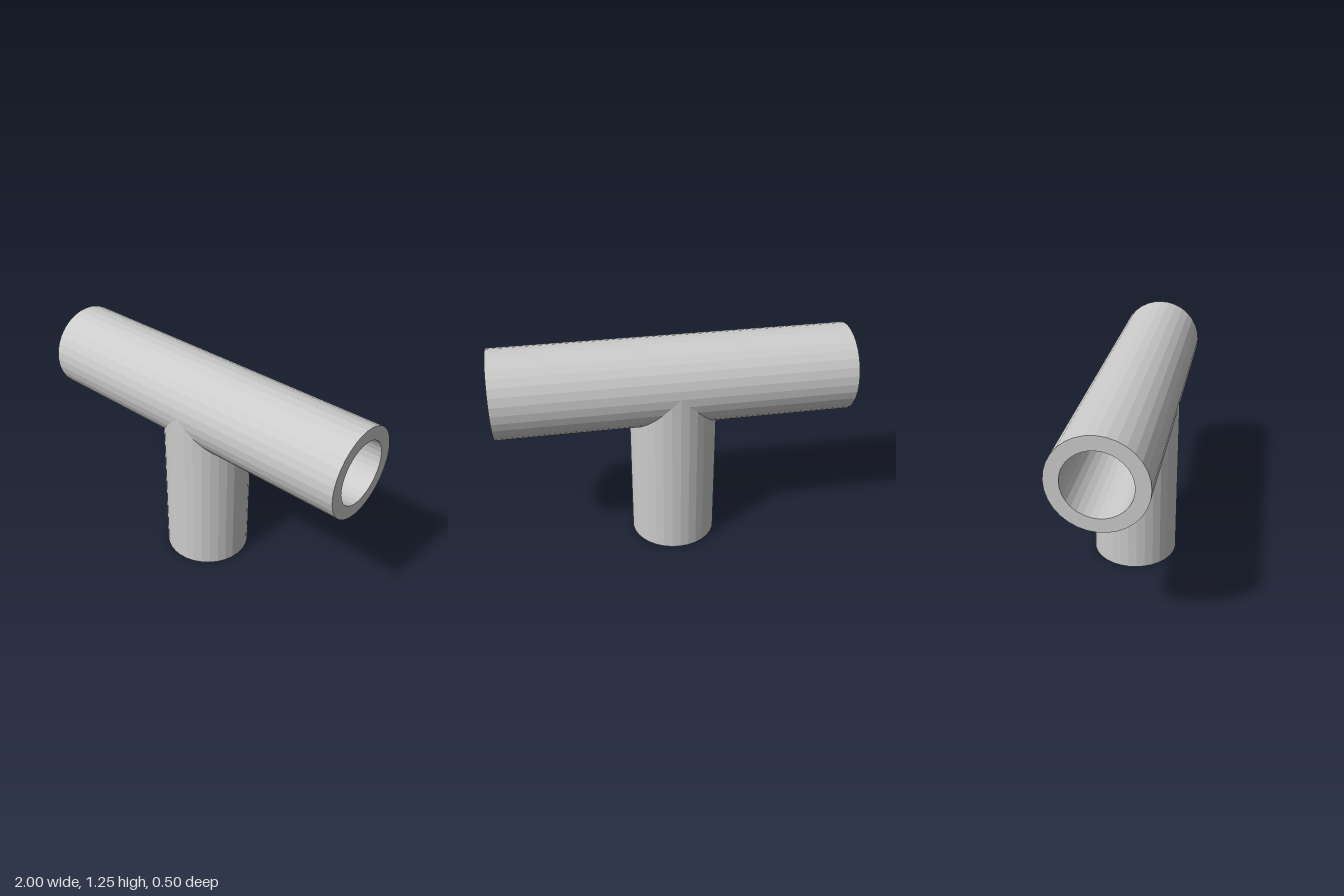
import * as THREE from 'three';

const OUTER = 0.25, BORE = 0.175, SIDES = 32;

// Hollow pipe along y, with flat ring ends
function makePipe(name, from, to, material) {
  const profile = [[BORE, from], [OUTER, from], [OUTER, to], [BORE, to], [BORE, from]]
    .map(([r, y]) => new THREE.Vector2(r, y));
  const mesh = new THREE.Mesh(new THREE.LatheGeometry(profile, SIDES), material);
  mesh.name = name;
  return mesh;
}

export function createModel() {
  const group = new THREE.Group();
  group.name = 'pipeTee';
  const material = new THREE.MeshStandardMaterial({ color: 0xcccccc, flatShading: true });

  // Horizontal run, open at both ends
  const run = makePipe('runPipe', -1, 1, material);
  run.rotation.z = Math.PI / 2;
  run.position.y = 1;

  // Vertical branch, reaching up to the axis of the run
  const branch = makePipe('branchPipe', 0, 1, material);

  group.add(run, branch);
  return group;
}
